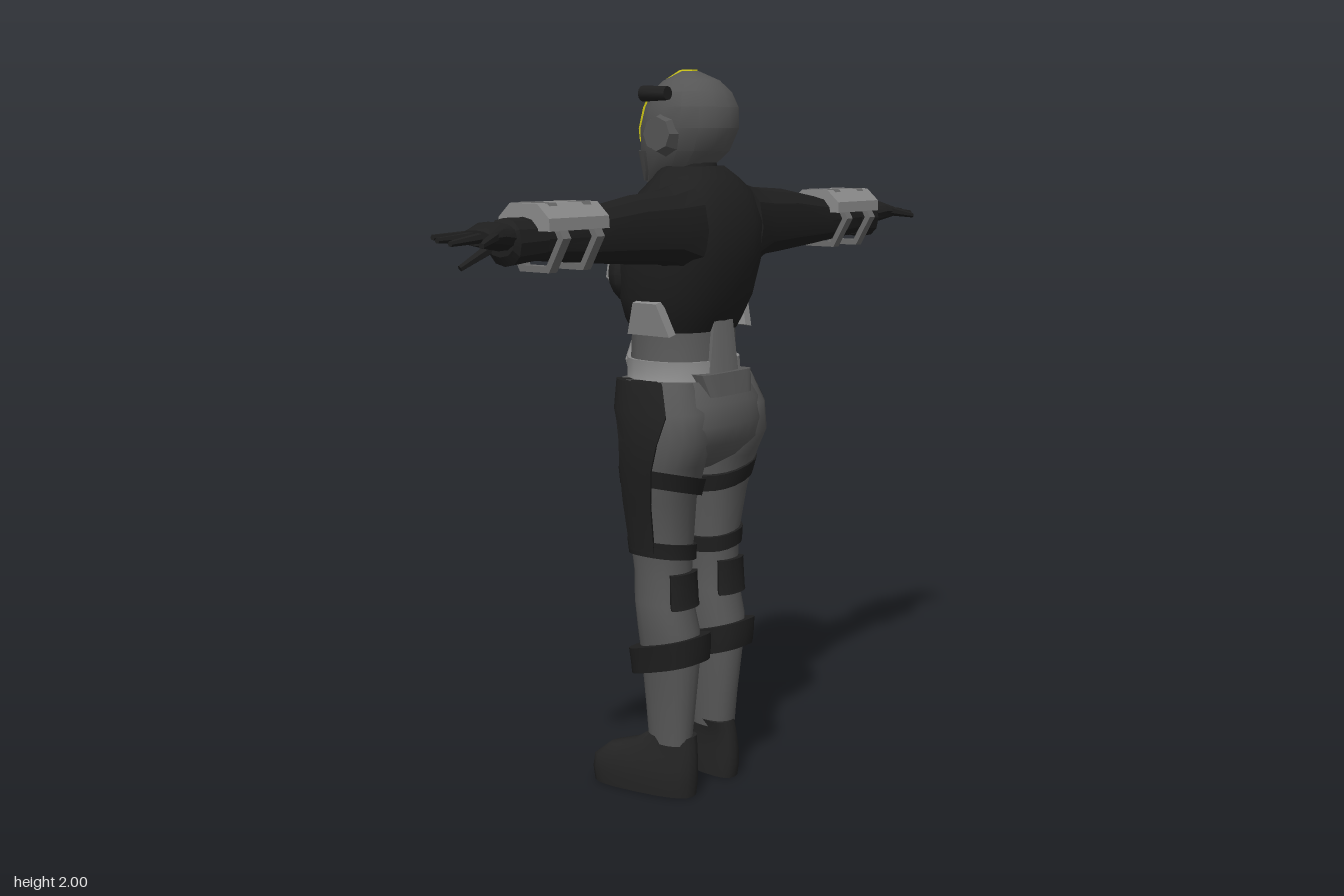
import * as THREE from 'three';
import { toCreasedNormals } from 'three/addons/utils/BufferGeometryUtils.js';

const mat = (name, color) => Object.assign(new THREE.MeshStandardMaterial({ color }), { name });
const suit = mat('suit grey', 0x585858);
const shell = mat('helmet grey', 0x555555);
const light = mat('armour light grey', 0x8a8a8a);
const mid = mat('strap mid grey', 0x6c6c6c);
const black = mat('jacket black', 0x1f1f1f);
const boots = mat('boot black', 0x242424);
const yellow = mat('visor yellow', 0xe6de1a);

// Linear sample of sections [y, x0, x1, z0, z1]
function sample(sec, y) {
  let i = 0;
  while (i < sec.length - 2 && y > sec[i + 1][0]) i++;
  const a = sec[i], b = sec[i + 1], k = (y - a[0]) / (b[0] - a[0]);
  return a.map((v, j) => v + (b[j] - v) * k);
}

// Closed solid through rounded sections; lo/hi cut a band, arc cuts a wedge, kx/kz slant it
function loft(sec, { lo = sec[0][0], hi = sec.at(-1)[0], grow = 0, arc = null, p = 2.3, n = 20, kx = 0, kz = 0 } = {}) {
  const ys = [lo, ...sec.map(s => s[0]).filter(y => y > lo + 1e-4 && y < hi - 1e-4), hi];
  const pos = [], idx = [];
  const pw = v => Math.sign(v) * Math.abs(v) ** (2 / p);
  const count = arc ? n + 2 : n;
  const centres = [];
  for (const y of ys) {
    const [, x0, x1, z0, z1] = sample(sec, y);
    const cx = (x0 + x1) / 2, cz = (z0 + z1) / 2;
    const rx = (x1 - x0) / 2 + grow, rz = (z1 - z0) / 2 + grow;
    const [t0, t1] = arc ? arc(y) : [0, Math.PI * 2];
    for (let j = 0; j < (arc ? n + 1 : n); j++) {
      const t = t0 + (t1 - t0) * j / n;
      const dx = rx * pw(Math.cos(t)), dz = rz * pw(Math.sin(t));
      pos.push(cx + dx, y + kx * dx + kz * dz, cz + dz);
    }
    if (arc) pos.push(cx, y, cz);
    centres.push([cx, y, cz]);
  }
  for (let i = 0; i < ys.length - 1; i++) for (let j = 0; j < count; j++) {
    const a = i * count + j, b = i * count + (j + 1) % count, c = a + count, d = b + count;
    idx.push(a, c, b, b, c, d);
  }
  const base = pos.length / 3, top = (ys.length - 1) * count;
  pos.push(...centres[0], ...centres.at(-1));
  for (let j = 0; j < count; j++) {
    const k = (j + 1) % count;
    idx.push(base, j, k, base + 1, top + k, top + j);
  }
  const g = new THREE.BufferGeometry();
  g.setAttribute('position', new THREE.Float32BufferAttribute(pos, 3));
  g.setIndex(idx);
  return g;
}

// Loft along +x, sections [x, y0, y1, z0, z1]
const loftX = (sec, o) => loft(sec.map(([x, y0, y1, a, b]) => [x, -y1, -y0, a, b]), o).rotateZ(-Math.PI / 2);

// Plate with a (z, y) outline between x0 and x1
function slab(pts, x0, x1, hole) {
  const v = q => q.map(([z, y]) => new THREE.Vector2(z, y));
  const s = new THREE.Shape(v(pts));
  if (hole) s.holes.push(new THREE.Path(v(hole)));
  return new THREE.ExtrudeGeometry(s, { depth: x1 - x0, bevelEnabled: false }).rotateY(-Math.PI / 2).translate(x1, 0, 0);
}

// Tapered rod between two points
function rod(a, b, r0, r1, n = 8) {
  const A = new THREE.Vector3(...a), B = new THREE.Vector3(...b), d = B.clone().sub(A);
  const g = new THREE.CylinderGeometry(r1, r0, d.length(), n);
  g.applyQuaternion(new THREE.Quaternion().setFromUnitVectors(new THREE.Vector3(0, 1, 0), d.normalize()));
  return g.translate(...A.add(B).multiplyScalar(0.5).toArray());
}

function mirrored(geo) {
  const g = geo.index ? geo.toNonIndexed() : geo.clone();
  const p = g.attributes.position;
  const get = i => [-p.getX(i), p.getY(i), p.getZ(i)];
  for (let i = 0; i < p.count; i += 3) {
    const [a, b, c] = [get(i), get(i + 1), get(i + 2)];
    p.setXYZ(i, ...a); p.setXYZ(i + 1, ...c); p.setXYZ(i + 2, ...b);
  }
  return g;
}

export function createModel() {
  const root = new THREE.Group();
  root.name = 'armouredFigure';
  const add = (name, geo, material, crease = 0.6) => {
    const m = new THREE.Mesh(toCreasedNormals(geo, crease), material);
    m.name = name;
    root.add(m);
  };
  const pair = (name, geo, material, crease) => {
    add(name + 'Left', geo, material, crease);
    add(name + 'Right', mirrored(geo), material, crease);
  };
  const H = Math.PI / 2;

  // Helmet, facing -z
  const head = [
    [1.705, -0.05, 0.05, -0.112, -0.02], [1.74, -0.08, 0.08, -0.114, 0.075], [1.79, -0.108, 0.108, -0.118, 0.135],
    [1.85, -0.122, 0.122, -0.115, 0.163], [1.905, -0.12, 0.12, -0.096, 0.16], [1.945, -0.104, 0.104, -0.077, 0.14],
    [1.975, -0.07, 0.07, -0.05, 0.11], [2.0, -0.02, 0.02, 0.0, 0.05]];
  add('helmet', loft(head, { p: 2.1, n: 16 }), shell, 0.5);
  add('jawGuard', loft(head, { lo: 1.71, hi: 1.79, grow: 0.006, p: 2.1, arc: () => [-H - 1.1, -H + 1.1] }), shell, 0.4);
  add('visor', loft(head, {
    lo: 1.815, hi: 1.93, grow: 0.005, p: 2.1,
    arc: y => { const w = 0.4 + (y - 1.815) * 2.8; return [-H - w, -H + w]; }
  }), yellow);
  add('crestStripe', slab([[-0.095, 1.925], [-0.056, 1.977], [0, 2.004], [0.04, 2.004], [0.04, 1.96], [-0.03, 1.92]], -0.012, 0.012), yellow);
  pair('earDisc', rod([0.09, 1.835, 0.02], [0.137, 1.835, 0.02], 0.062, 0.045), shell, 0.3);
  add('headLamp', rod([-0.125, 1.94, 0.05], [-0.125, 1.94, -0.035], 0.018, 0.021, 12), black);
  add('lampBracket', rod([-0.08, 1.925, 0.02], [-0.125, 1.94, 0.02], 0.012, 0.012, 6), black);

  // Neck and jacket
  add('neck', rod([0, 1.66, 0.04], [0, 1.77, 0.03], 0.085, 0.065, 14), black);
  add('jacket', loft([
    [1.31, -0.15, 0.15, -0.12, 0.13], [1.34, -0.165, 0.165, -0.135, 0.145], [1.4, -0.188, 0.188, -0.145, 0.17],
    [1.5, -0.2, 0.2, -0.14, 0.195], [1.6, -0.2, 0.2, -0.105, 0.2], [1.68, -0.17, 0.17, -0.08, 0.172],
    [1.72, -0.12, 0.12, -0.055, 0.145], [1.75, -0.085, 0.085, -0.04, 0.11]], { p: 2.5, n: 24 }), black, 0.7);
  pair('chest', new THREE.SphereGeometry(1, 16, 10).scale(0.085, 0.085, 0.06).translate(0.088, 1.46, -0.1), black);
  pair('chestPlate', new THREE.CylinderGeometry(0.055, 0.085, 0.06, 6).scale(0.85, 1, 0.95)
    .rotateX(-H + 0.15).rotateY(-0.2).translate(0.088, 1.47, -0.138), light, 0.3);
  pair('sidePlate', slab([[-0.045, -0.045], [0.1, -0.045], [0.07, 0.045], [-0.01, 0.045]], -0.014, 0.014)
    .rotateZ(-0.22).translate(0.178, 1.352, 0), light, 0.3);

  // Waist, belt and stomach plate
  const waist = [[1.14, -0.17, 0.17, -0.12, 0.15], [1.2, -0.15, 0.15, -0.132, 0.138], [1.34, -0.148, 0.148, -0.125, 0.13]];
  add('waist', loft(waist), suit);
  add('belt', loft(waist, { lo: 1.18, hi: 1.232, grow: 0.009 }), light);
  add('spinePlate', loft(waist, {
    lo: 1.2, hi: 1.35, grow: 0.014, arc: y => { const w = 0.2 + (1.35 - y) * 0.9; return [H - w, H + w]; }
  }), mid);
  add('backPouch', loft([[1.14, -0.09, 0.09, 0.1, 0.18], [1.2, -0.108, 0.108, 0.09, 0.165]], { p: 6 }), suit, 0.4);
  add('stomachPlate', loft([
    [1.08, -0.045, 0.045, -0.122, -0.06], [1.13, -0.08, 0.08, -0.138, -0.05],
    [1.22, -0.1, 0.1, -0.154, -0.05], [1.3, -0.06, 0.06, -0.145, -0.05]], { p: 2.8, n: 16 }), light, 0.5);

  // Hips and legs
  add('hips', loft([
    [0.925, -0.09, 0.09, -0.05, 0.08], [0.96, -0.16, 0.16, -0.085, 0.14], [1.01, -0.215, 0.215, -0.1, 0.185],
    [1.06, -0.22, 0.22, -0.108, 0.193], [1.12, -0.205, 0.205, -0.114, 0.188], [1.18, -0.178, 0.178, -0.114, 0.155]], { n: 28 }), suit, 1);
  const leg = [
    [0.15, 0.052, 0.146, -0.03, 0.1], [0.25, 0.045, 0.15, -0.04, 0.11], [0.4, 0.035, 0.165, -0.05, 0.125],
    [0.48, 0.03, 0.178, -0.055, 0.122], [0.56, 0.032, 0.18, -0.063, 0.1], [0.64, 0.036, 0.176, -0.065, 0.096],
    [0.72, 0.028, 0.182, -0.076, 0.098], [0.85, 0.026, 0.206, -0.085, 0.113], [0.95, 0.012, 0.224, -0.09, 0.14],
    [1.02, 0.006, 0.229, -0.098, 0.175], [1.1, 0.02, 0.221, -0.1, 0.17], [1.18, 0.05, 0.195, -0.1, 0.13]];
  pair('leg', loft(leg), suit, 1);
  pair('upperThighStrap', loft(leg, { lo: 0.875, hi: 0.922, grow: 0.008, kx: 0.25 }), black);
  pair('lowerThighStrap', loft(leg, { lo: 0.685, hi: 0.728, grow: 0.009, kx: 0.15 }), black);
  pair('shinCuff', loft(leg, { lo: 0.37, hi: 0.445, grow: 0.023, kz: 0.27, p: 2.8 }), black);
  pair('calfPatch', loft(leg, { lo: 0.55, hi: 0.648, grow: 0.014, arc: () => [H - 0.7, H + 0.7] }), black);
  pair('thighPanel', loft(leg, {
    lo: 0.71, hi: 1.18, grow: 0.012, arc: y => y > 1.09 ? [-1.15, 0.55] : [-0.5, 0.35]
  }), black);

  // Boots, toes turned out
  const boot = loft([
    [0, 0.066, 0.164, -0.195, 0.115], [0.04, 0.064, 0.168, -0.2, 0.12], [0.08, 0.064, 0.166, -0.195, 0.12],
    [0.118, 0.064, 0.158, -0.15, 0.117], [0.145, 0.062, 0.152, -0.065, 0.112], [0.17, 0.056, 0.149, -0.03, 0.105]], { p: 2.7 });
  const bp = boot.attributes.position;
  for (let i = 0; i < bp.count; i++) bp.setX(i, bp.getX(i) - 0.17 * bp.getZ(i));
  pair('boot', boot, boots, 0.9);

  // Arms, gloves and fingers
  pair('arm', loftX([
    [0.12, 1.46, 1.71, -0.03, 0.185], [0.2, 1.498, 1.69, 0, 0.175], [0.33, 1.507, 1.682, 0.018, 0.163],
    [0.5, 1.52, 1.655, 0.03, 0.15], [0.72, 1.54, 1.642, 0.035, 0.14]], { n: 12 }), black, 0.4);
  pair('gloveCuff', loftX([[0.68, 1.535, 1.64, 0.03, 0.145], [0.77, 1.527, 1.642, 0.028, 0.14], [0.785, 1.55, 1.63, 0.035, 0.13]], { n: 12 }), black, 0.4);
  pair('hand', loftX([
    [0.76, 1.56, 1.63, 0.025, 0.13], [0.82, 1.57, 1.635, 0.02, 0.14], [0.875, 1.582, 1.618, 0.04, 0.145]], { n: 12 }), black);
  const fingers = [[0.05, 0.06, 0.975], [0.077, 0.085, 0.985], [0.104, 0.122, 0.98], [0.13, 0.165, 0.925]];
  fingers.forEach(([z0, z1, x], i) =>
    pair('finger' + (i + 1), rod([0.85, 1.602, z0], [x, 1.605 - i * 0.006, z1], 0.014, 0.007, 6), black));
  pair('thumb', rod([0.78, 1.57, 0.045], [0.855, 1.525, 0.02], 0.015, 0.008, 6), black);

  // Forearm guards with two hexagonal straps
  pair('forearmGuard', slab([
    [0.005, 1.61], [0.007, 1.64], [0.045, 1.674], [0.135, 1.674], [0.173, 1.64], [0.175, 1.61]], 0.5, 0.712), light, 0.3);
  const hex = r => Array.from({ length: 6 }, (_, i) => [0.09 + r * Math.cos(i * Math.PI / 3), 1.592 + r * Math.sin(i * Math.PI / 3)]);
  for (const x of [0.53, 0.65]) pair('forearmStrap', slab(hex(0.096), x, x + 0.028, hex(0.078)), mid, 0.3);

  return root;
}
